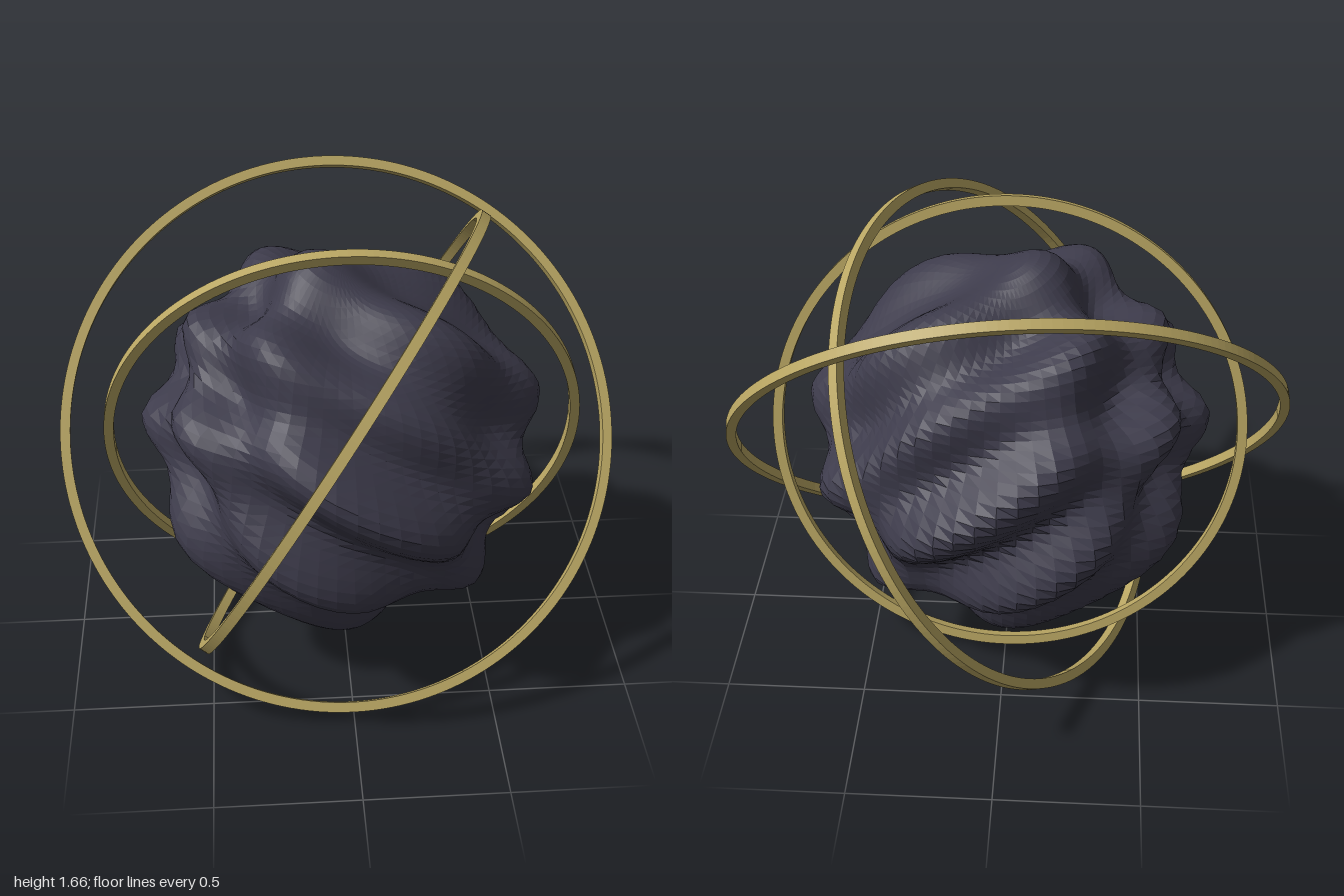
import * as THREE from 'three';

const CENTRE_Y = 0.826;

// Sphere pushed in and out along its radius by slanted waves that alternate across z
function wavySphere(radius, amplitude) {
  const geometry = new THREE.SphereGeometry(1, 64, 64);
  const pos = geometry.attributes.position;
  const p = new THREE.Vector3();
  for (let i = 0; i < pos.count; i++) {
    p.fromBufferAttribute(pos, i).normalize();
    const wave = Math.sin(6 * p.x + 9 * p.y) * Math.cos(6.3 * p.z);
    p.multiplyScalar(radius + amplitude * wave);
    pos.setXYZ(i, p.x, p.y, p.z);
  }
  geometry.computeVertexNormals();
  return geometry;
}

// Flat-sided hoop in the xy plane
function hoop(outer, width, depth) {
  const shape = new THREE.Shape().absarc(0, 0, outer, 0, Math.PI * 2);
  shape.holes.push(new THREE.Path().absarc(0, 0, outer - width, 0, Math.PI * 2, true));
  return new THREE.ExtrudeGeometry(shape, { depth, bevelEnabled: false, curveSegments: 96 })
    .translate(0, 0, -depth / 2);
}

export function createModel() {
  const dark = new THREE.MeshStandardMaterial({ color: 0x3d3b4b, flatShading: true });
  dark.name = 'dark slate';
  const gold = new THREE.MeshStandardMaterial({ color: 0xb8a562 });
  gold.name = 'pale gold';

  const model = new THREE.Group();
  model.name = 'ringedCore';

  // Rippled core
  const core = new THREE.Mesh(wavySphere(0.645, 0.077), dark);
  core.name = 'core';
  core.position.y = CENTRE_Y;
  model.add(core);

  // Three thin rings, each given by its outer radius and the normal of its plane
  const rings = [
    ['innerRing', 0.852, [0, -0.259, 0.966]],
    ['middleRing', 0.927, [0.82, -0.48, 0.31]],
    ['outerRing', 1.002, [0.1, 0.6, 0.785]],
  ];
  const zAxis = new THREE.Vector3(0, 0, 1);
  for (const [name, radius, normal] of rings) {
    const ring = new THREE.Mesh(hoop(radius, 0.035, 0.036), gold);
    ring.name = name;
    ring.position.y = CENTRE_Y;
    ring.quaternion.setFromUnitVectors(zAxis, new THREE.Vector3(...normal).normalize());
    model.add(ring);
  }
  return model;
}
